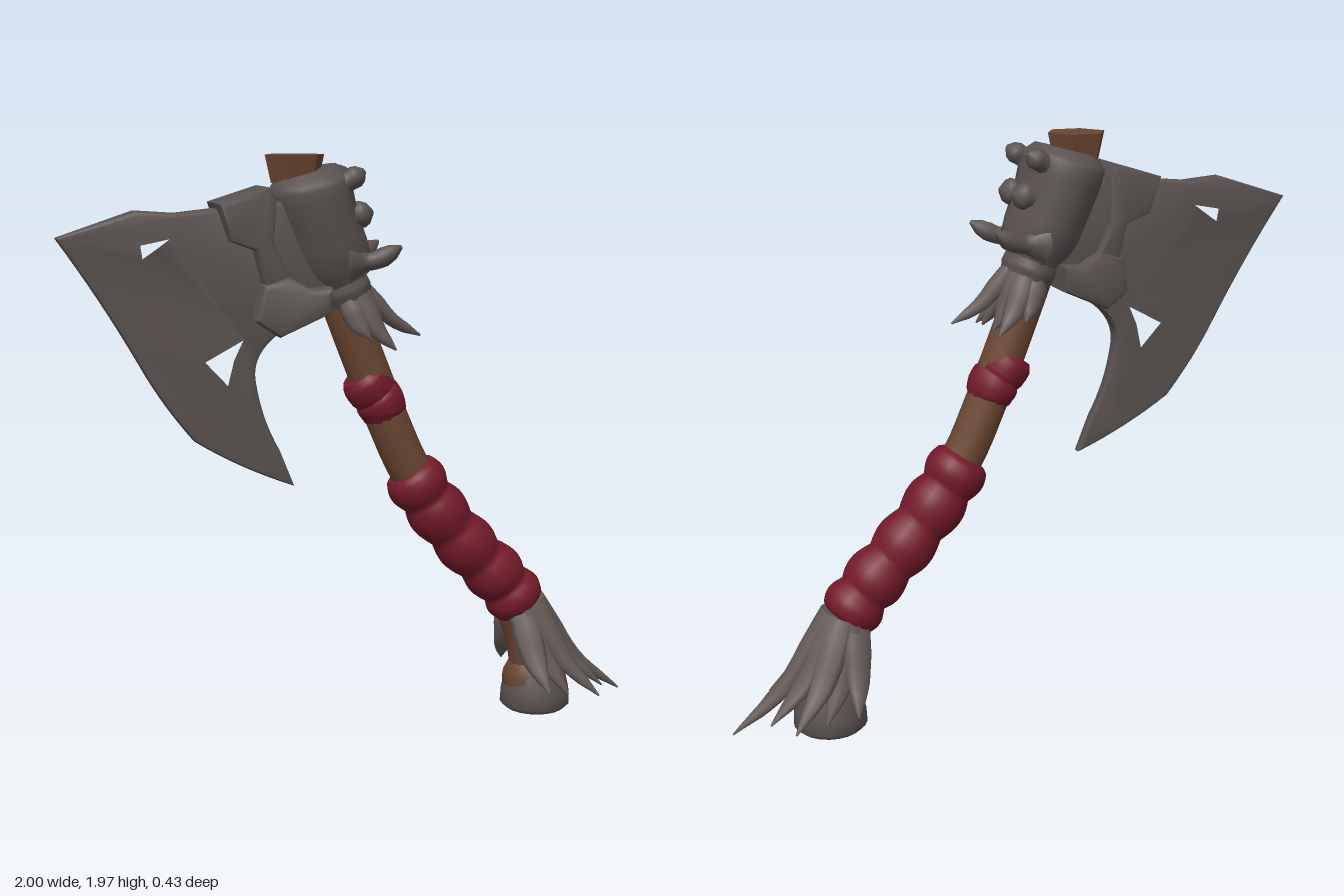
import * as THREE from 'three';
import { toCreasedNormals } from 'three/addons/utils/BufferGeometryUtils.js';

const mat = (name, color) => {
  const m = new THREE.MeshStandardMaterial({ color });
  m.name = name;
  return m;
};
const V = (x, y, z = 0) => new THREE.Vector3(x, y, z);

// Interpolates a short list of radii along t = 0..1
const along = (list) => (t) => {
  const f = t * (list.length - 1), i = Math.min(Math.floor(f), list.length - 2);
  return list[i] + (list[i + 1] - list[i]) * (f - i);
};

// Closed tube along a path: ru is the radius towards ref, rv the radius across it
function sweep(points, ru, rv, { sides = 12, steps = 12, ref = V(0, 0, 1) } = {}) {
  const curve = new THREE.CatmullRomCurve3(points);
  const pos = [], idx = [], rings = [];
  for (let i = 0; i <= steps; i++) {
    const t = i / steps, c = curve.getPoint(t), T = curve.getTangent(t);
    const U = ref.clone().addScaledVector(T, -T.dot(ref)).normalize();
    const W = T.clone().cross(U), ring = [];
    for (let j = 0; j < sides; j++) {
      const a = (j / sides) * Math.PI * 2;
      ring.push(c.clone().addScaledVector(U, ru(t) * Math.cos(a)).addScaledVector(W, rv(t) * Math.sin(a)));
    }
    rings.push(ring);
  }
  const add = (p) => pos.push(p.x, p.y, p.z) / 3 - 1;
  rings.forEach((r) => r.forEach(add));
  for (let i = 0; i < steps; i++) for (let j = 0; j < sides; j++) {
    const k = (j + 1) % sides, a = i * sides, b = a + sides;
    idx.push(a + j, a + k, b + j, a + k, b + k, b + j);
  }
  [[rings[0], curve.getPoint(0), true], [rings[steps], curve.getPoint(1), false]].forEach(([ring, c, flip]) => {
    const mid = add(c), first = ring.map(add)[0];
    for (let j = 0; j < sides; j++) {
      const p = first + j, q = first + (j + 1) % sides;
      idx.push(mid, flip ? q : p, flip ? p : q);
    }
  });
  const g = new THREE.BufferGeometry();
  g.setAttribute('position', new THREE.Float32BufferAttribute(pos, 3));
  g.setIndex(idx);
  g.computeVertexNormals();
  return g;
}

// Bevelled plate from an outline, centred on z = 0; thick(x, y) scales its depth
function plate(shape, depth, bevel, thick = () => 1) {
  const g = new THREE.ExtrudeGeometry(shape, {
    depth: depth - 2 * bevel, bevelThickness: bevel, bevelSize: bevel,
    bevelOffset: -bevel, bevelSegments: 2, curveSegments: 8,
  });
  g.translate(0, 0, bevel - depth / 2);
  const p = g.attributes.position;
  for (let i = 0; i < p.count; i++) p.setZ(i, p.getZ(i) * thick(p.getX(i), p.getY(i)));
  return toCreasedNormals(g, 0.7);
}
const poly = (pts) => new THREE.Shape(pts.map(([x, y]) => new THREE.Vector2(x, y)));

export function createModel() {
  const iron = mat('iron', 0x5a5250);
  const fur = mat('grey fur', 0x665c59);
  const wood = mat('brown wood', 0x6a4631);
  const cloth = mat('red cloth', 0x741a2a);

  const model = new THREE.Group();
  model.name = 'axe';
  const put = (name, geo, material, parent = model) => {
    const m = new THREE.Mesh(geo, material);
    m.name = name;
    parent.add(m);
    return m;
  };
  const group = (name) => {
    const g = new THREE.Group();
    g.name = name;
    model.add(g);
    return g;
  };

  // Curved wooden handle with a faceted top knob
  const shaft = [V(-0.21, 1.92), V(-0.15, 1.75), V(-0.07, 1.52), V(0.015, 1.3), V(0.1, 1.09), V(0.19, 0.9),
    V(0.39, 0.635), V(0.56, 0.43), V(0.62, 0.28), V(0.65, 0.1)];
  const rShaft = along([0.07, 0.07, 0.072, 0.072, 0.07, 0.07]);
  put('handle', sweep(shaft, rShaft, rShaft, { steps: 40, sides: 14 }), wood);
  const knob = new THREE.CylinderGeometry(0.1, 0.08, 0.09, 6).toNonIndexed();
  knob.rotateY(Math.PI / 6);
  knob.computeVertexNormals();
  put('handleTop', knob, wood).position.set(-0.22, 1.935, -0.005);

  // Pommel: wooden swelling held in an iron foot
  put('pommelWood', new THREE.SphereGeometry(0.1, 16, 10), wood).position.set(0.645, 0.12, 0);
  const foot = [[0, 0.01], [0.105, 0.012], [0.125, 0.03], [0.122, 0.08], [0.108, 0.14], [0.085, 0.19], [0, 0.2]];
  put('pommel', new THREE.LatheGeometry(foot.map(([x, y]) => new THREE.Vector2(x, y)), 20), iron).position.x = 0.665;

  // Red cloth wraps, built as bulging windings
  const bulge = (base, amp, n) => (t) =>
    (base + amp * Math.abs(Math.sin(t * n * Math.PI))) * (t < 0.02 || t > 0.98 ? 0.88 : 1);
  const rGrip = bulge(0.088, 0.018, 5);
  put('gripWrap', sweep([V(0.175, 0.915), V(0.26, 0.79), V(0.39, 0.635), V(0.52, 0.5), V(0.605, 0.395)],
    rGrip, rGrip, { steps: 50, sides: 18 }), cloth);
  const small = group('upperWrap');
  const rBand = along([0.068, 0.084, 0.086, 0.083, 0.068]);
  put('bandUpper', sweep([V(0.0, 1.255), V(0.03, 1.215), V(0.065, 1.16)], rBand, rBand), cloth, small);
  put('bandLower', sweep([V(0.045, 1.195), V(0.072, 1.155), V(0.085, 1.1)], rBand, rBand), cloth, small);

  // Blade with two cut-outs, thinning towards the cutting edge
  const blade = poly([[-1, 1.73], [-0.75, 1.81], [-0.62, 1.8], [-0.47, 1.815], [-0.3, 1.8], [-0.22, 1.5]]);
  blade.lineTo(-0.285, 1.405);
  blade.quadraticCurveTo(-0.38, 1.34, -0.365, 1.25);
  blade.quadraticCurveTo(-0.345, 1.12, -0.285, 1.015);
  blade.lineTo(-0.235, 0.89);
  blade.quadraticCurveTo(-0.42, 0.96, -0.57, 1.06);
  blade.quadraticCurveTo(-0.67, 1.18, -0.74, 1.31);
  blade.quadraticCurveTo(-0.86, 1.53, -1, 1.73);
  blade.holes.push(
    poly([[-0.755, 1.715], [-0.625, 1.73], [-0.675, 1.68], [-0.74, 1.64]]),
    poly([[-0.395, 1.405], [-0.425, 1.32], [-0.455, 1.22], [-0.555, 1.325]]));
  const fromEdge = (x, y) => (x + 1) * 0.739 + (y - 1.73) * 0.673;
  put('blade', plate(blade, 0.075, 0.015, (x, y) => Math.min(1, 0.55 + Math.max(0, fromEdge(x, y)) * 2)), iron);

  // Clamps holding the blade
  const socket = group('bladeSocket');
  put('socketCore', plate(poly([[-0.35, 1.83], [-0.2, 1.84], [-0.1, 1.54], [-0.3, 1.54]]), 0.15, 0.015), iron, socket);
  put('upperClamp', plate(poly([[-0.495, 1.83], [-0.33, 1.88], [-0.305, 1.84], [-0.315, 1.7], [-0.25, 1.56],
    [-0.345, 1.56], [-0.375, 1.68], [-0.455, 1.71]]), 0.19, 0.018), iron, socket);
  put('lowerClamp', plate(poly([[-0.355, 1.57], [-0.38, 1.455], [-0.3, 1.4], [-0.135, 1.475], [-0.13, 1.56],
    [-0.2, 1.555], [-0.27, 1.595]]), 0.2, 0.02, (x) => 1 + Math.max(0, x + 0.38) * 1.7), iron, socket);

  // Head casing around the top of the handle
  put('headCasing', sweep([V(-0.185, 1.925), V(-0.16, 1.83), V(-0.115, 1.7), V(-0.06, 1.57)],
    along([0.1, 0.152, 0.157, 0.155, 0.15, 0.142, 0.135, 0.12, 0.1]),
    along([0.105, 0.138, 0.138, 0.135, 0.13, 0.13, 0.13, 0.125, 0.1]), { sides: 12, steps: 16 }), iron);
  put('headCollar', sweep([V(-0.072, 1.59), V(-0.055, 1.54), V(-0.035, 1.49)],
    along([0.09, 0.1, 0.085]), along([0.085, 0.092, 0.08])), iron);

  // Mirrored pairs of blunt horns
  const horns = group('horns');
  const hornPaths = [
    [[-0.11, 1.87, 0.07], [-0.06, 1.9, 0.085], [-0.015, 1.93, 0.095], 0.05, 0.034],
    [[-0.09, 1.78, 0.05], [-0.03, 1.785, 0.055], [0.025, 1.795, 0.058], 0.05, 0.042],
    [[-0.06, 1.635, 0.07], [0.02, 1.64, 0.095], [0.105, 1.685, 0.118], 0.075, 0.03],
  ];
  for (const [a, b, c, r0, r1] of hornPaths) for (const s of [1, -1]) {
    const r = along([r0, (r0 + r1) / 2, r1, r1, r1 * 1.08, r1 * 0.85, r1 * 0.2]);
    put('horn', sweep([a, b, c].map(([x, y, z]) => V(x, y, z * s)), r, r, { sides: 10 }), iron, horns);
  }

  // Fur fringes: flattened tapering tufts fanned over the +x side
  function fringe(name, cx, cy, rx, rz, width, tufts) {
    const g = group(name);
    for (const [deg, x, y, z] of tufts) for (const s of z ? [1, -1] : [1]) {
      const a = THREE.MathUtils.degToRad(deg) * s;
      const root = V(cx + rx * Math.cos(a), cy + (cx > 0 ? 0.03 : 0.02) * Math.cos(a), rz * Math.sin(a));
      const tip = V(x, y, z * s), d = tip.clone().sub(root);
      const mid = root.clone().add(V(d.x * 0.48, d.y * 0.64, d.z * 0.5));
      put('tuft', sweep([root, mid, tip], along([width, width * 1.05, width * 0.85, width * 0.5, 0.003]),
        along([0.025, 0.03, 0.024, 0.018, 0.003]),
        { sides: 8, ref: V(-Math.sin(a), 0, Math.cos(a)) }), fur, g);
    }
  }
  fringe('lowerFringe', 0.6, 0.4, 0.06, 0.07, 0.05, [
    [0, 1.0, 0.04, 0], [28, 0.89, 0.09, 0.085], [55, 0.83, 0.09, 0.185],
    [80, 0.72, 0.1, 0.165], [108, 0.625, 0.13, 0.215]]);
  fringe('upperFringe', -0.045, 1.52, 0.06, 0.065, 0.04, [
    [0, 0.215, 1.375, 0], [35, 0.09, 1.35, 0.05], [65, 0.09, 1.345, 0.11], [105, 0.0, 1.385, 0.115]]);

  return model;
}
